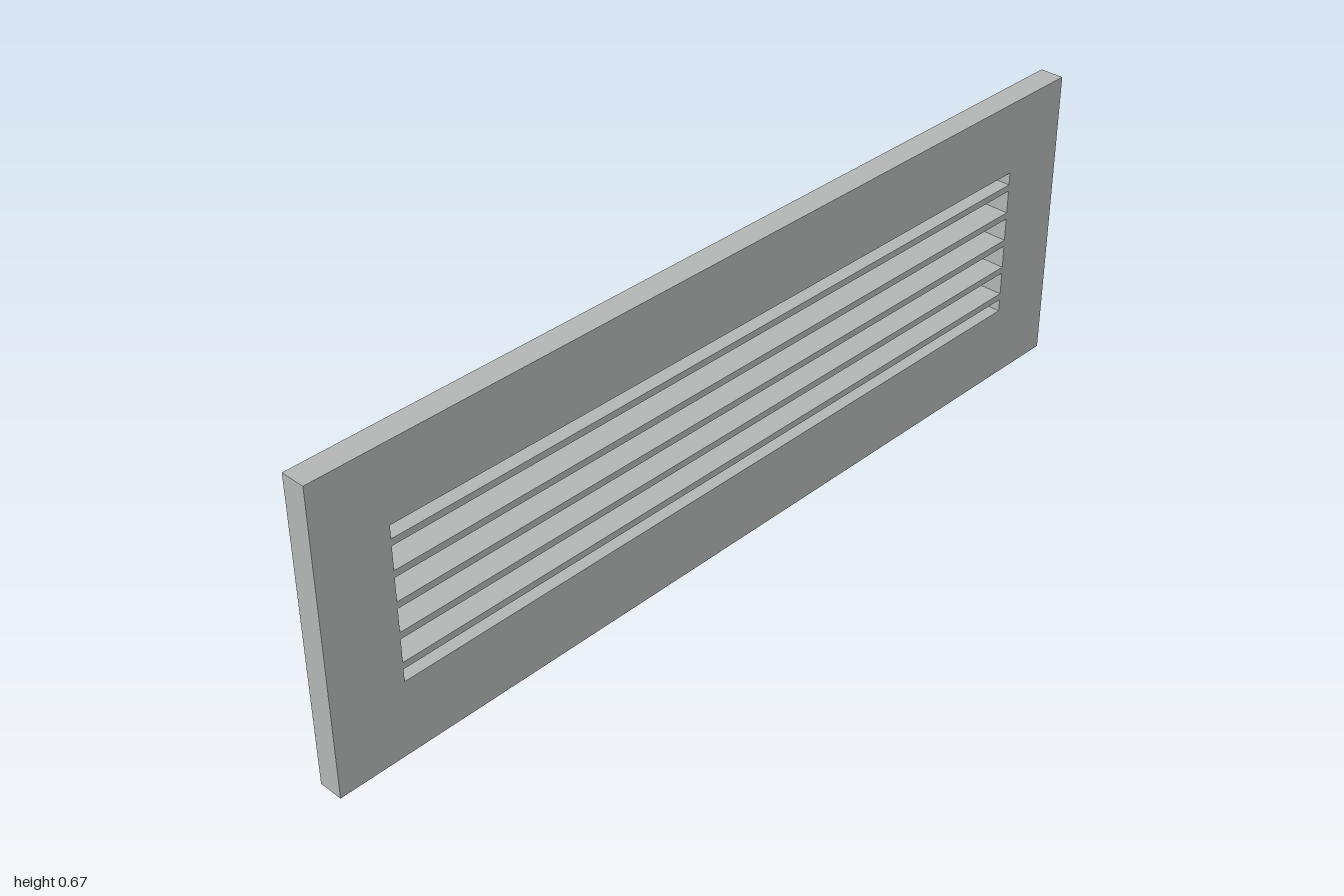
import * as THREE from 'three';

// Closed rectangular frame with a rectangular opening, extruded along z
function frame(halfW, halfH, openW, openH, z0, z1) {
  const shape = new THREE.Shape([
    new THREE.Vector2(-halfW, -halfH), new THREE.Vector2(halfW, -halfH),
    new THREE.Vector2(halfW, halfH), new THREE.Vector2(-halfW, halfH),
  ]);
  shape.holes.push(new THREE.Path([
    new THREE.Vector2(-openW, -openH), new THREE.Vector2(-openW, openH),
    new THREE.Vector2(openW, openH), new THREE.Vector2(openW, -openH),
  ]));
  const geo = new THREE.ExtrudeGeometry(shape, { depth: z1 - z0, bevelEnabled: false });
  return geo.translate(0, 0, z0);
}

export function createModel() {
  const group = new THREE.Group();
  const metal = new THREE.MeshStandardMaterial({ color: 0xb6b9b7 });
  metal.name = 'grey metal';

  const midY = 0.3333, openW = 0.84, openH = 0.169;
  const front = 0.0733, step = 0.02, back = -0.0733, slatBack = -0.036;

  const add = (name, geo, y) => {
    const mesh = new THREE.Mesh(geo, metal);
    mesh.name = name;
    mesh.position.y = y;
    group.add(mesh);
    return mesh;
  };

  // Face plate and the collar behind it
  add('facePlate', frame(1, midY, openW, openH, step, front), midY);
  add('collar', frame(0.853, 0.1867, openW, openH, back, step), midY);

  // Five horizontal slats, flush with the front
  const depth = front - slatBack;
  for (let i = -2; i <= 2; i++) {
    const slat = add('slat', new THREE.BoxGeometry(openW * 2, 0.015, depth), midY + i * 0.0667);
    slat.position.z = (front + slatBack) / 2;
  }

  // Upright divider at the rear of the slats
  const divider = add('divider', new THREE.BoxGeometry(0.027, openH * 2, 0.014), midY);
  divider.position.z = slatBack + 0.007;

  return group;
}
